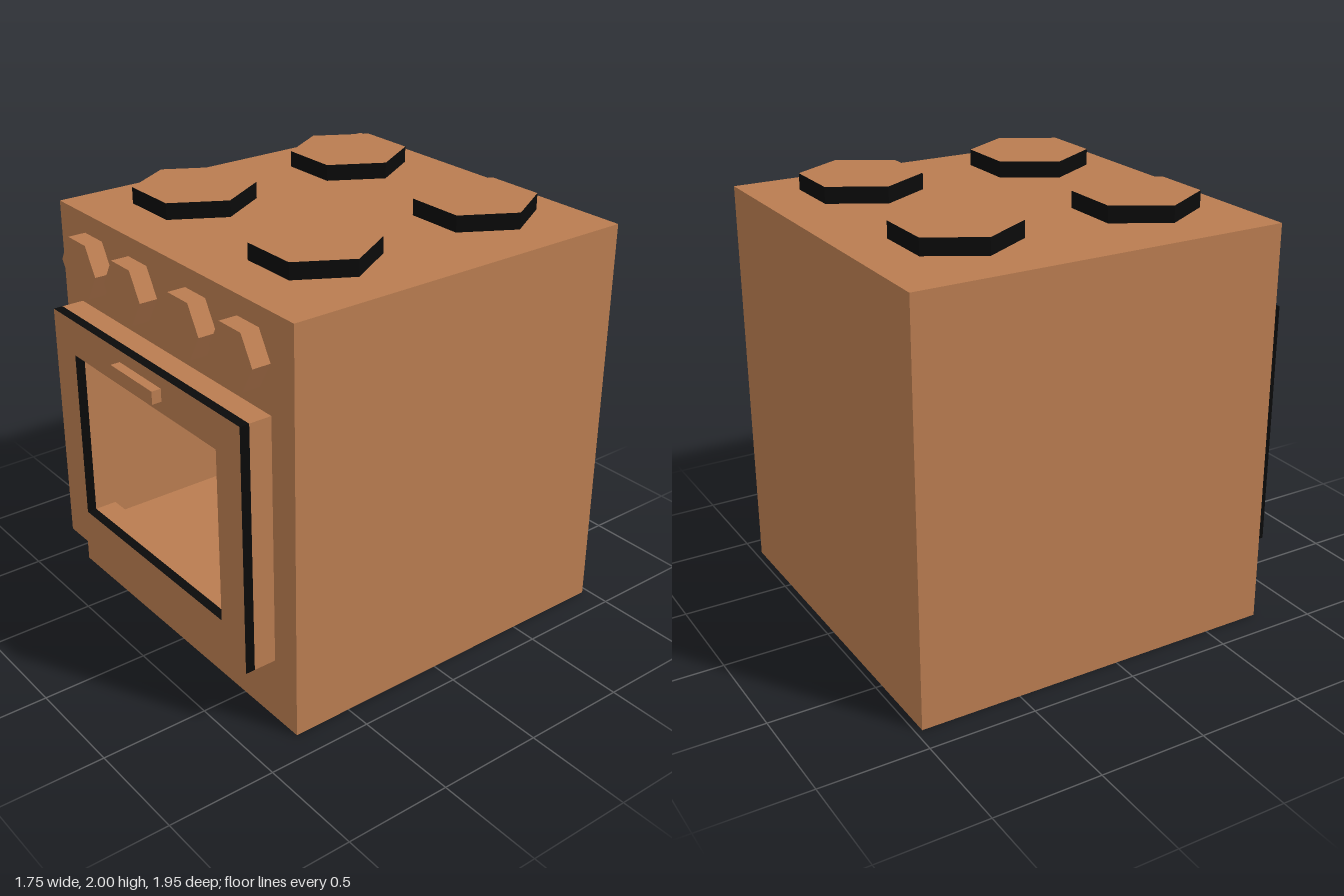
import * as THREE from 'three';

export function createModel() {
  const root = new THREE.Group();
  root.name = 'stove';
  const brown = new THREE.MeshStandardMaterial({ color: 0xb97c50 });
  brown.name = 'brown enamel';
  const black = new THREE.MeshStandardMaterial({ color: 0x0a0a0a });
  black.name = 'black edge';

  function add(name, geometry, material, x = 0, y = 0, z = 0, parent = root) {
    const mesh = new THREE.Mesh(geometry, material);
    mesh.name = name;
    mesh.position.set(x, y, z);
    parent.add(mesh);
    return mesh;
  }

  // Box without its front face; inward turns it into a cavity lining
  function openBox(w, h, d, inward) {
    const g = new THREE.BoxGeometry(w, h, d);
    const index = Array.from(g.index.array);
    index.splice(24, 6);
    g.clearGroups();
    if (inward) {
      index.reverse();
      const n = g.attributes.normal;
      for (let i = 0; i < n.count; i++) n.setXYZ(i, -n.getX(i), -n.getY(i), -n.getZ(i));
    }
    g.setIndex(index);
    return g;
  }

  // Rectangle with a rectangular hole; each rect is [x0, y0, x1, y1]
  function corners([x0, y0, x1, y1]) {
    return [[x0, y0], [x1, y0], [x1, y1], [x0, y1]].map(p => new THREE.Vector2(...p));
  }
  function frame(outer, hole) {
    const shape = new THREE.Shape(corners(outer));
    shape.holes.push(new THREE.Path(corners(hole).reverse()));
    return shape;
  }

  const front = 0.78, back = -0.97, width = 1.75, height = 1.9;
  const doorRect = [-0.73, 0.3, 0.725, 1.46];
  const windowRect = [-0.56, 0.475, 0.555, 1.29];

  // Cabinet: outer shell, front panel with opening, oven lining
  add('cabinet', openBox(width, height, front - back, false), brown, 0, height / 2, (front + back) / 2);
  add('frontPanel', new THREE.ShapeGeometry(frame([-width / 2, 0, width / 2, height], doorRect)), brown, 0, 0, front);
  const ovenDepth = 1.165;
  add('ovenCavity', openBox(1.455, 1.16, ovenDepth, true), brown, -0.0025, 0.88, front - ovenDepth / 2);

  // Oven door: brown frame with a black front rim
  const door = new THREE.Group();
  door.name = 'ovenDoor';
  root.add(door);
  const doorShape = frame(doorRect, windowRect);
  const slab = depth => new THREE.ExtrudeGeometry(doorShape, { depth, bevelEnabled: false });
  add('doorFrame', slab(0.105), brown, 0, 0, front, door);
  add('doorRim', slab(0.045), [brown, black], 0, 0, front + 0.105, door);
  add('doorHandle', new THREE.BoxGeometry(0.325, 0.06, 0.045), brown, 0, 1.374, 0.9525, door);

  // Hexagonal prism with corners on the x axis
  const hex = (r, h) => new THREE.CylinderGeometry(r, r, h, 6, 1, false, Math.PI / 2).toNonIndexed();
  function flatHex(r, h) {
    const g = hex(r, h);
    g.computeVertexNormals();
    return g;
  }

  // Control knobs
  const knob = flatHex(0.145, 0.085).rotateX(Math.PI / 2);
  for (const x of [-0.588, -0.223, 0.216, 0.58]) add('knob', knob, brown, x, 1.683, front + 0.0425);

  // Burners hovering just above the top
  const burner = flatHex(0.275, 0.075);
  for (const x of [-0.438, 0.438])
    for (const z of [-0.535, 0.34]) add('burner', burner, [black, brown, brown], x, 1.9625, z);

  return root;
}
